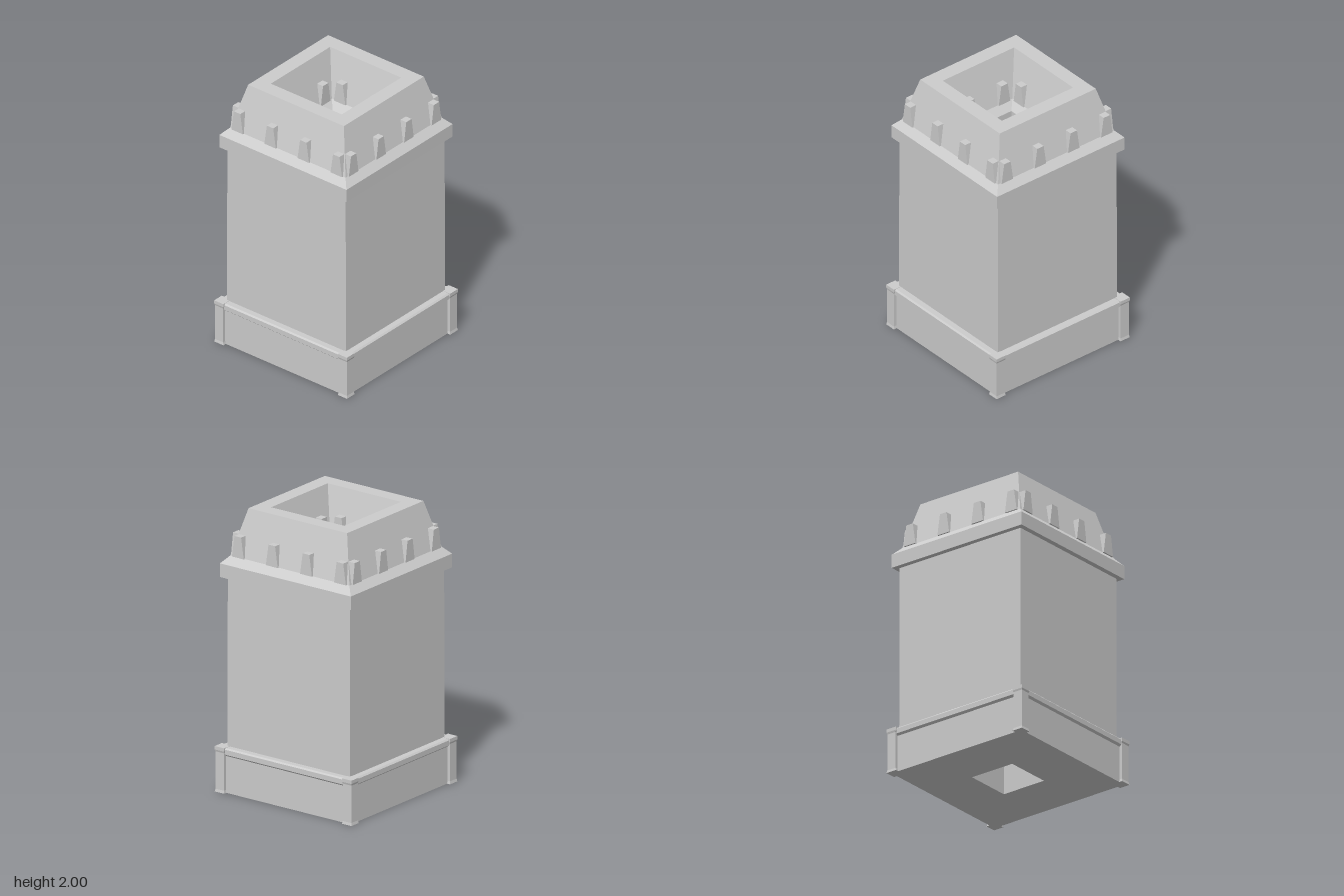
import * as THREE from 'three';

const material = new THREE.MeshStandardMaterial({ color: 0xcccccc, flatShading: true });

// Square tower section: profile of [half width, y], swept round four sides
function squareSweep(name, profile) {
  const points = profile.map(([half, y]) => new THREE.Vector2(half * Math.SQRT2, y));
  const geometry = new THREE.LatheGeometry(points, 4, Math.PI / 4).toNonIndexed();
  geometry.computeVertexNormals();
  const mesh = new THREE.Mesh(geometry, material);
  mesh.name = name;
  return mesh;
}

// Tapered tooth, extruded along +z
function toothGeometry(depth) {
  const shape = new THREE.Shape([
    new THREE.Vector2(-0.05, 1.67),
    new THREE.Vector2(0.05, 1.67),
    new THREE.Vector2(0.028, 1.82),
    new THREE.Vector2(-0.028, 1.82),
  ]);
  return new THREE.ExtrudeGeometry(shape, { depth, bevelEnabled: false });
}

export function createModel() {
  const model = new THREE.Group();
  model.name = 'chimney';

  // Hollow shaft: plinth, body, cornice, sloping crown, then down the flue
  model.add(squareSweep('shaft', [
    [0.172, 0], [0.555, 0], [0.555, 0.262], [0.57, 0.275], [0.57, 0.31], [0.56, 0.32],
    [0.519, 0.32], [0.517, 1.52], [0.555, 1.52], [0.555, 1.617],
    [0.505, 1.67], [0.418, 2], [0.31, 2],
    [0.222, 1.67], [0.172, 1.617], [0.172, 0],
  ]));

  // Corner posts with a flared foot and cap
  for (const x of [-1, 1]) {
    for (const z of [-1, 1]) {
      const post = squareSweep('cornerPost', [
        [0, 0], [0.04, 0], [0.036, 0.02], [0.036, 0.285],
        [0.04, 0.298], [0.04, 0.322], [0, 0.322],
      ]);
      post.position.set(x * 0.54, 0, z * 0.54);
      model.add(post);
    }
  }

  // Teeth on the outside and inside of the crown, on all four sides
  const toothShape = toothGeometry(0.053);
  for (let side = 0; side < 4; side++) {
    const row = new THREE.Group();
    row.name = 'toothRow';
    row.rotation.y = side * Math.PI / 2;
    const add = (name, x, z) => {
      const tooth = new THREE.Mesh(toothShape, material);
      tooth.name = name;
      tooth.position.set(x, 0, z);
      row.add(tooth);
    };
    for (const x of [-0.433, -0.145, 0.145, 0.433]) add('outerTooth', x, 0.463);
    for (const x of [-0.145, 0.145]) add('innerTooth', x, 0.211);
    model.add(row);
  }
  return model;
}
